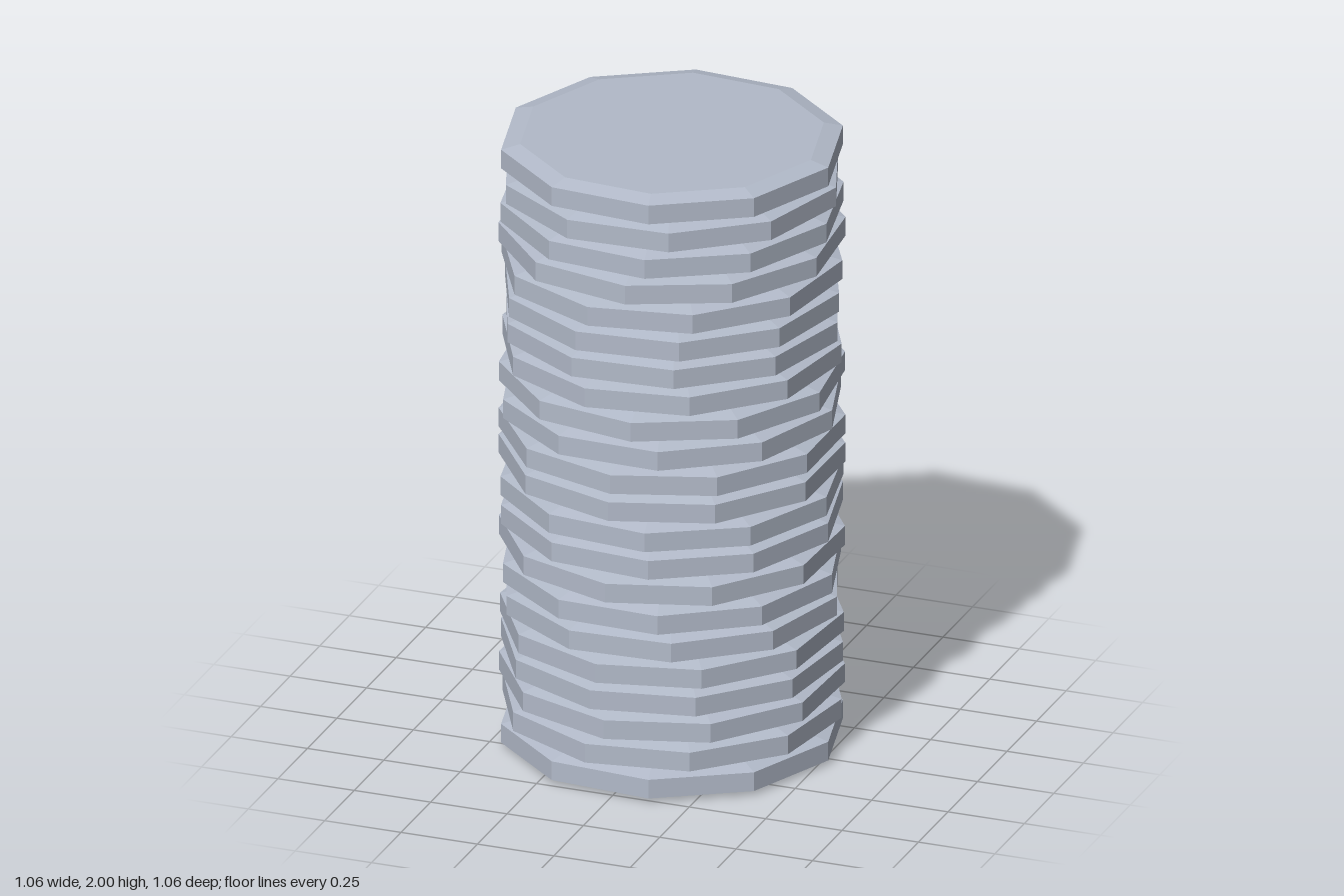
import * as THREE from 'three';

export function createModel() {
  const group = new THREE.Group();
  group.name = 'discStack';

  const metal = new THREE.MeshStandardMaterial({ color: 0xb2bac9 });
  metal.name = 'blueGreyMetal';
  metal.flatShading = true;

  // turn of each disc in degrees, from top to bottom
  const turns = [
    13.3, 20, 12, 5.4, 28, 23.4, 21.7, 26.9, 7.4, 16.4, 0.2,
    -0.5, 12, 13.2, -1.5, 16.3, 20.8, -5, -7, -2, -9, 13.3,
  ];
  const thickness = 2 / turns.length;
  const h = thickness / 2, wall = 0.031, radius = 0.53, capRadius = 0.471;

  // ten-sided disc with bevelled rims
  const profile = [
    [0, -h], [capRadius, -h], [radius, -wall],
    [radius, wall], [capRadius, h], [0, h],
  ].map(([r, y]) => new THREE.Vector2(r, y));
  const discGeometry = new THREE.LatheGeometry(profile, 10);

  turns.forEach((turn, i) => {
    const disc = new THREE.Mesh(discGeometry, metal);
    disc.name = `disc${i + 1}`;
    disc.position.y = 2 - h - i * thickness;
    disc.rotation.y = THREE.MathUtils.degToRad(turn);
    group.add(disc);
  });

  return group;
}
